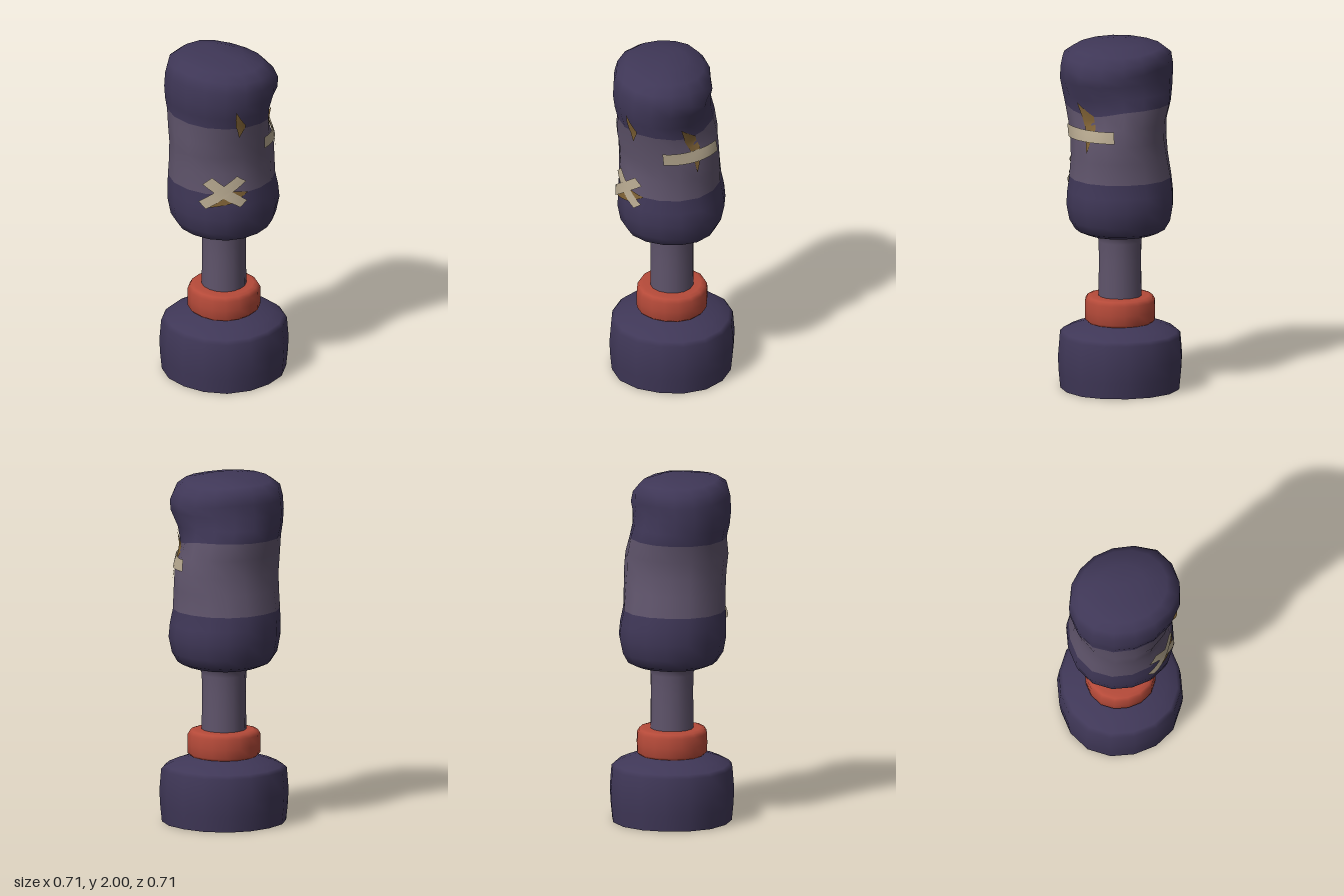
import * as THREE from 'three';

const SIDES = 16;
const paint = (color, side = THREE.FrontSide) => new THREE.MeshStandardMaterial({ color, side, roughness: 0.9 });
const deg = Math.PI / 180;
const bell = (v, centre, width) => Math.exp(-(((v - centre) / width) ** 2));
// Round sections are slightly fuller on the diagonals
const fullness = (angle) => 1 + 0.034 * Math.sin(2 * angle) ** 2;

// Bag sections: height, then extent to -x, +x, +z, -z
const RINGS = [
  [0.90, 0.00, 0.00, 0.00, 0.00],
  [0.90, 0.13, 0.13, 0.13, 0.13],
  [0.90, 0.20, 0.20, 0.20, 0.20],
  [0.925, 0.257, 0.255, 0.257, 0.257],
  [0.98, 0.293, 0.285, 0.29, 0.29],
  [1.07, 0.31, 0.304, 0.307, 0.305],
  [1.15, 0.31, 0.296, 0.302, 0.303],
  [1.23, 0.308, 0.279, 0.29, 0.295],
  [1.35, 0.308, 0.277, 0.282, 0.277],
  [1.45, 0.312, 0.279, 0.286, 0.270],
  [1.55, 0.322, 0.274, 0.297, 0.271],
  [1.65, 0.312, 0.247, 0.312, 0.295],
  [1.72, 0.328, 0.228, 0.323, 0.305],
  [1.80, 0.336, 0.225, 0.335, 0.311],
  [1.89, 0.332, 0.236, 0.333, 0.311],
  [1.955, 0.315, 0.225, 0.322, 0.300],
  [1.987, 0.265, 0.185, 0.265, 0.252],
  [1.998, 0.16, 0.09, 0.14, 0.14],
  [2.00, 0.04, -0.04, 0.00, 0.00],
];

// Dents and bulges: direction in degrees, height, reach in height, depth
const BUMPS = [
  [48, 1.84, 0.10, 0.037], [48, 1.60, 0.12, -0.045],
  [135, 1.86, 0.10, -0.03], [135, 1.48, 0.14, -0.03],
  [-45, 1.43, 0.20, -0.032], [-135, 1.60, 0.40, 0.012],
];
const facing = (angle, direction) => {
  const d = angle - direction * deg;
  return bell(Math.atan2(Math.sin(d), Math.cos(d)), 0, 0.5);
};

// Point on one bag section; angle runs from +z towards +x
function ringPoint([y, left, right, front, back], angle, lift = 0) {
  const cx = (right - left) / 2, cz = (front - back) / 2;
  const size = Math.min(1, (front + back) / 0.5);
  const full = THREE.MathUtils.lerp(fullness(angle), 1, THREE.MathUtils.smoothstep(y, 1.55, 1.75));
  let push = lift;
  for (const [direction, height, reach, depth] of BUMPS)
    push += size * depth * facing(angle, direction) * bell(y, height, reach);
  const x = cx + ((left + right) / 2 * full + push) * Math.sin(angle);
  const z = cz + ((front + back) / 2 * full + push) * Math.cos(angle);
  // the top slumps towards +x, and the band edge dips at the dent
  const slump = 1.1 * Math.max(0, x) ** 2 + 0.25 * z * z;
  const sag = slump * THREE.MathUtils.smoothstep(y, 1.75, 1.95) + 0.045 * facing(angle, 48) * bell(y, 1.65, 0.08);
  return [x, y - sag, z];
}

function bagPoint(angle, y, lift) {
  let i = 2;
  while (i < RINGS.length - 2 && RINGS[i + 1][0] < y) i++;
  const t = (y - RINGS[i][0]) / (RINGS[i + 1][0] - RINGS[i][0]);
  return ringPoint(RINGS[i].map((v, k) => THREE.MathUtils.lerp(v, RINGS[i + 1][k], t)), angle, lift);
}

// Bag in three colour bands that share smooth normals
function makeBag(dark, middle) {
  const bag = new THREE.Group();
  bag.name = 'bag';
  const positions = [], index = [];
  for (const ring of RINGS)
    for (let j = 0; j < SIDES; j++) positions.push(...ringPoint(ring, (j / SIDES) * Math.PI * 2));
  for (let i = 0; i < RINGS.length - 1; i++)
    for (let j = 0; j < SIDES; j++) {
      const a = i * SIDES + j, b = i * SIDES + ((j + 1) % SIDES);
      index.push(a, b, a + SIDES, b, b + SIDES, a + SIDES);
    }
  const whole = new THREE.BufferGeometry();
  whole.setAttribute('position', new THREE.Float32BufferAttribute(positions, 3));
  whole.setIndex(index);
  whole.computeVertexNormals();
  // the poles are flat
  const normals = whole.attributes.normal;
  for (let j = 0; j < SIDES; j++) {
    normals.setXYZ(j, 0, -1, 0);
    normals.setXYZ((RINGS.length - 1) * SIDES + j, 0, 1, 0);
  }
  const bands = [['bagBottom', 0, 7, dark], ['bagMiddle', 7, 11, middle], ['bagTop', 11, RINGS.length - 1, dark]];
  for (const [name, from, to, material] of bands) {
    const part = whole.clone();
    part.setIndex(index.slice(from * SIDES * 6, to * SIDES * 6));
    const mesh = new THREE.Mesh(part, material);
    mesh.name = name;
    bag.add(mesh);
  }
  return bag;
}

// Thin four-cornered patch laid on the bag; corners are [degrees, height]
function makePatch(name, [a, b, c, d], lift, material) {
  const geometry = new THREE.PlaneGeometry(1, 1, 8, 4);
  const p = geometry.attributes.position;
  const mix = THREE.MathUtils.lerp;
  for (let i = 0; i < p.count; i++) {
    const u = p.getX(i) + 0.5, v = p.getY(i) + 0.5;
    const at = (k) => mix(mix(a[k], b[k], u), mix(d[k], c[k], u), v);
    p.setXYZ(i, ...bagPoint(at(0) * deg, at(1), lift));
  }
  geometry.computeVertexNormals();
  const mesh = new THREE.Mesh(geometry, material);
  mesh.name = name;
  return mesh;
}

function makeLathe(name, profile, material) {
  const geometry = new THREE.LatheGeometry(profile.map(([r, y]) => new THREE.Vector2(r, y)), SIDES);
  const p = geometry.attributes.position;
  for (let i = 0; i < p.count; i++) {
    const full = fullness(Math.atan2(p.getX(i), p.getZ(i)));
    p.setXYZ(i, p.getX(i) * full, p.getY(i), p.getZ(i) * full);
  }
  const mesh = new THREE.Mesh(geometry, material);
  mesh.name = name;
  return mesh;
}

export function createModel() {
  const model = new THREE.Group();
  model.name = 'punchingBag';
  const dark = paint(0x3f3757), middle = paint(0x5f546b), red = paint(0xb54a39);
  const shell = paint(0x3f3757, THREE.DoubleSide);
  const tape = paint(0xb5a78e, THREE.DoubleSide), tear = paint(0x7d6034, THREE.DoubleSide);

  // Hollow foot, collar and post
  model.add(
    makeLathe('base', [[0.342, 0], [0.351, 0.09], [0.356, 0.18], [0.346, 0.305],
      [0.325, 0.325], [0.27, 0.35], [0.18, 0.38], [0.12, 0.385]], shell),
    makeLathe('collar', [[0.12, 0.38], [0.185, 0.38], [0.2, 0.395], [0.202, 0.45], [0.2, 0.505],
      [0.187, 0.527], [0.165, 0.533], [0.115, 0.533]], red),
    makeLathe('post', [[0.124, 0.5], [0.122, 0.65], [0.121, 0.75], [0.123, 0.85], [0.128, 0.88],
      [0.138, 0.893], [0.15, 0.9]], middle),
    makeBag(dark, middle),
  );

  // Tears in the cloth
  model.add(
    makePatch('sideTear', [[43, 1.40], [54, 1.56], [54, 1.66], [35, 1.71]], 0.006, tear),
    makePatch('upperTear', [[-29, 1.59], [-22, 1.67], [-33, 1.77], [-34, 1.67]], 0.006, tear),
    makePatch('lowerTear', [[-66, 1.15], [-38, 1.18], [-18, 1.235], [-45, 1.26]], 0.006, tear),
  );

  // Tape strips over the tears
  model.add(
    makePatch('sideTape', [[6, 1.47], [78, 1.475], [78, 1.545], [6, 1.545]], 0.013, tape),
    makePatch('crossTapeA', [[-70, 1.29], [-30, 1.155], [-21, 1.19], [-59, 1.335]], 0.010, tape),
    makePatch('crossTapeB', [[-74, 1.185], [-30, 1.34], [-20, 1.305], [-66, 1.145]], 0.014, tape),
  );
  return model;
}
